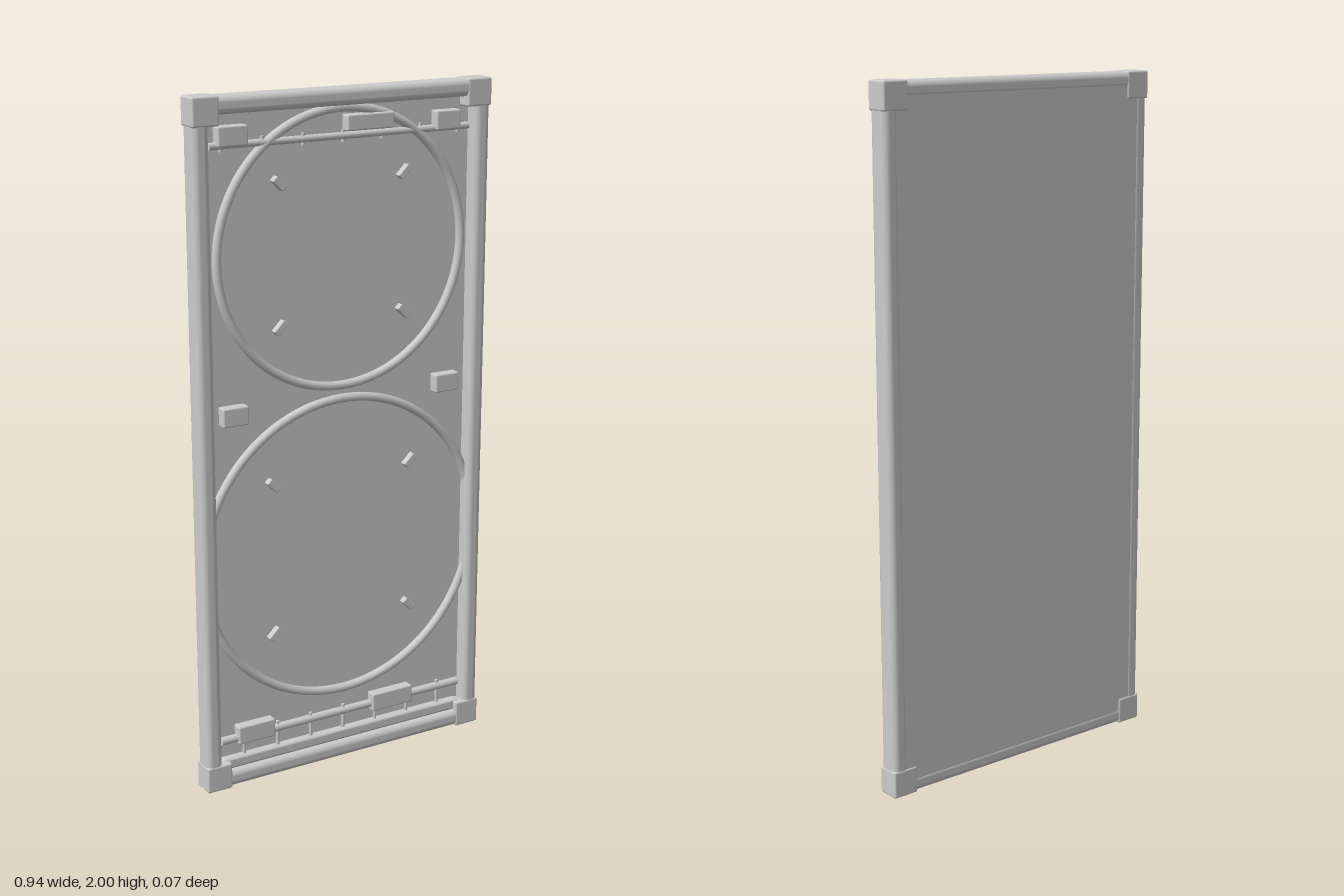
import * as THREE from 'three';
import { RoundedBoxGeometry } from 'three/addons/geometries/RoundedBoxGeometry.js';

export function createModel() {
  const model = new THREE.Group();
  const material = new THREE.MeshStandardMaterial({ color: 0xcccccc });

  const add = (name, geometry, x, y, z) => {
    const mesh = new THREE.Mesh(geometry, material);
    mesh.name = name;
    mesh.position.set(x, y, z);
    model.add(mesh);
    return mesh;
  };
  const block = (name, w, h, d, x, y, z, r = 0.005) =>
    add(name, new RoundedBoxGeometry(w, h, d, 4, r), x, y, z);
  const rod = (name, radius, length, x, y, z) =>
    add(name, new THREE.CylinderGeometry(radius, radius, length, 16), x, y, z);

  // Back panel
  add('backPanel', new THREE.BoxGeometry(0.87, 1.93, 0.024), 0, 1, -0.02);

  // Rounded frame rails and corner caps
  for (const s of [-1, 1]) {
    block('sideRail', 0.05, 1.94, 0.067, s * 0.4435, 1, 0, 0.018);
    block('endRail', 0.88, 0.05, 0.067, 0, 1 + s * 0.9735, 0, 0.018);
    for (const t of [-1, 1])
      block('cornerCap', 0.08, 0.08, 0.07, s * 0.43, 1 + t * 0.96, 0, 0.006);
  }
  block('lowerInnerRail', 0.82, 0.034, 0.03, 0, 0.068, 0.003, 0.008);

  // Two large rings, each with four radial clips
  const rings = [
    { y: 1.55, radius: 0.392, clip: 0.2 },
    { y: 0.667, radius: 0.452, clip: 0.228 },
  ];
  for (const { y, radius, clip } of rings) {
    add('ring', new THREE.TorusGeometry(radius, 0.013, 12, 96), 0, y, 0.001);
    for (const sx of [-1, 1]) for (const sy of [-1, 1]) {
      const peg = block('ringClip', 0.044, 0.02, 0.022, sx * clip, y + sy * clip, 0, 0.003);
      peg.rotation.z = sx * sy * Math.PI / 4;
    }
  }

  // Cross rods near the top and bottom
  rod('upperRod', 0.01, 0.82, 0, 1.865, 0.003).rotation.z = Math.PI / 2;
  rod('lowerRod', 0.012, 0.82, 0, 0.14, 0.003).rotation.z = Math.PI / 2;
  for (let i = -3; i <= 3; i++) {
    rod('upperRodCollar', 0.005, 0.034, i * 0.125, 1.865, 0.003);
    rod('lowerRodPost', 0.005, 0.085, i * 0.112, 0.118, 0.003);
  }

  // Small housings: width, height, x, y
  const housings = [
    [0.09, 0.055, -0.345, 1.89], [0.15, 0.045, 0.08, 1.9], [0.08, 0.055, 0.335, 1.887],
    [0.08, 0.055, -0.35, 1.12], [0.08, 0.055, 0.345, 1.12],
    [0.12, 0.056, -0.3, 0.151], [0.14, 0.056, 0.165, 0.146],
  ];
  for (const [w, h, x, y] of housings) block('housing', w, h, 0.034, x, y, 0.005);

  return model;
}
